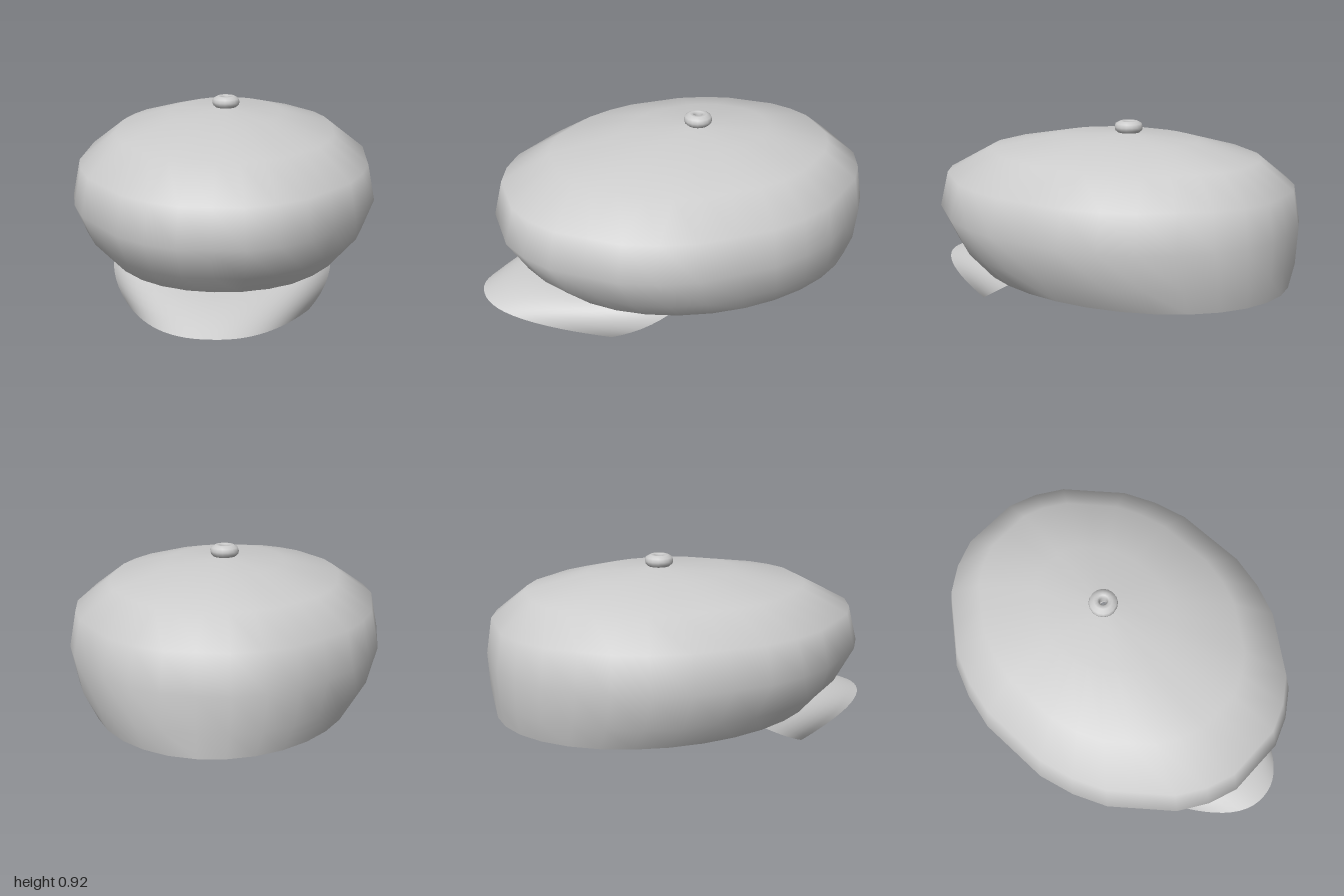
import * as THREE from 'three';

const wool = new THREE.MeshStandardMaterial({ color: 0xcccccc, side: THREE.DoubleSide });
wool.name = 'light grey wool';

// Smooth surface through a grid of points; wrap joins the last column to the first
function gridSurface(rows, cols, point, wrap) {
  const positions = [], index = [];
  for (let r = 0; r < rows; r++)
    for (let c = 0; c < cols; c++) positions.push(...point(r, c));
  for (let r = 0; r < rows - 1; r++)
    for (let c = 0; c < (wrap ? cols : cols - 1); c++) {
      const n = (c + 1) % cols;
      const a = r * cols + c, b = r * cols + n;
      const d = a + cols, e = b + cols;
      index.push(a, b, d, b, e, d);
    }
  const geometry = new THREE.BufferGeometry();
  geometry.setAttribute('position', new THREE.Float32BufferAttribute(positions, 3));
  geometry.setIndex(index);
  geometry.computeVertexNormals();
  return geometry;
}

function part(name, geometry) {
  const mesh = new THREE.Mesh(geometry, wool);
  mesh.name = name;
  return mesh;
}

// Crown: oval rings of [height, half width, front z, back z], open at the head
function crownGeometry() {
  const rings = [
    [0.17, 0.64, 0.68, -0.99],
    [0.29, 0.71, 0.785, -0.995],
    [0.46, 0.76, 0.885, -1.0],
    [0.64, 0.725, 0.84, -0.97],
    [0.77, 0.555, 0.60, -0.81],
    [0.845, 0.285, 0.23, -0.505],
    [0.865, 0.02, -0.12, -0.16],
  ];
  return gridSurface(rings.length, 32, (r, c) => {
    const [y, halfWidth, front, back] = rings[r];
    const angle = c / 32 * Math.PI * 2;
    // Every fourth point lies on a flat facet of the oval
    const k = r > 0 && c % 4 !== 0 ? 1.02 : 1;
    return [
      halfWidth * k * Math.sin(angle), y,
      (front + back) / 2 + (front - back) / 2 * k * Math.cos(angle),
    ];
  }, true);
}

// Visor: spans from the crown's front rim to a drooping, rounded outer edge
function visorGeometry() {
  const across = 32, deep = 6, spread = 1.034;
  return gridSurface(across + 1, deep + 1, (r, c) => {
    const u = r / across * 2 - 1, v = c / deep;
    const a = u * spread;
    const inner = new THREE.Vector3(
      0.64 * Math.sin(a),
      0.185 - 0.03 * u * u,
      0.68 - 0.48 * (1 - Math.cos(a)) / (1 - Math.cos(spread)));
    const s = Math.sin(u * 1.2) / Math.sin(1.2);
    const outer = new THREE.Vector3(
      0.44 * s,
      0.1 - 0.095 * s * s,
      1 - 0.54 * Math.pow(Math.abs(s), 2.2));
    const p = inner.lerp(outer, v);
    const bulge = 4 * v * (1 - v);
    p.x += 0.025 * u * bulge;
    p.y += 0.015 * (1 - u * u) * bulge;
    return [p.x, p.y, p.z];
  }, false);
}

// Button: small flattened ring on top of the crown
function buttonGeometry() {
  const profile = [
    [0.02, 0.866], [0.055, 0.868], [0.068, 0.88], [0.071, 0.895],
    [0.066, 0.912], [0.045, 0.924], [0.028, 0.924], [0.018, 0.912], [0.02, 0.866],
  ].map(([x, y]) => new THREE.Vector2(x, y));
  return new THREE.LatheGeometry(profile, 16);
}

export function createModel() {
  const cap = new THREE.Group();
  cap.name = 'flatCap';
  const button = part('topButton', buttonGeometry());
  button.position.z = -0.145;
  cap.add(part('crown', crownGeometry()), part('visor', visorGeometry()), button);
  return cap;
}
